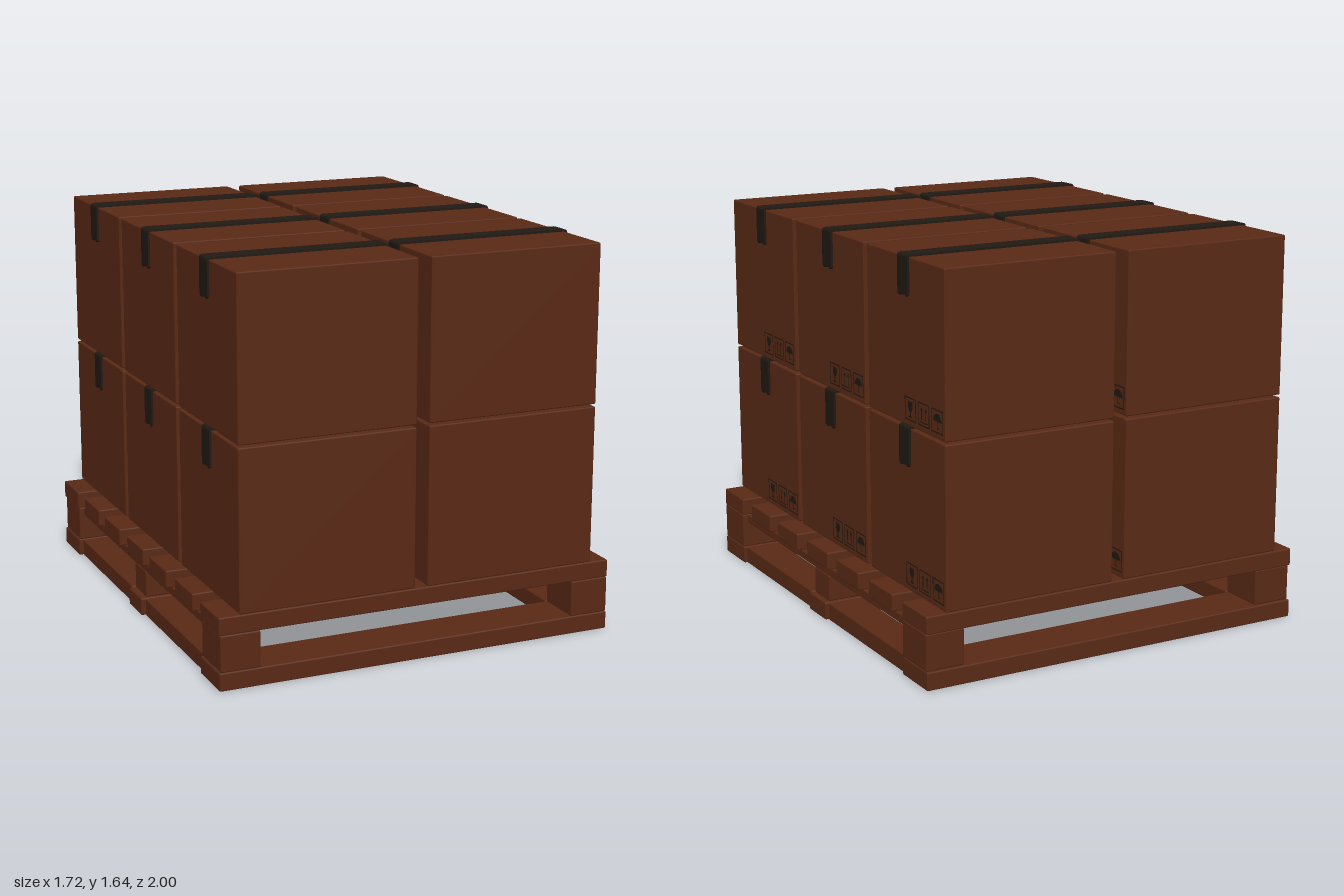
import * as THREE from 'three';
import { RoundedBoxGeometry } from 'three/addons/geometries/RoundedBoxGeometry.js';
import { mergeGeometries } from 'three/addons/utils/BufferGeometryUtils.js';

const brown = new THREE.MeshStandardMaterial({ color: 0x5a2a16 });
const black = new THREE.MeshStandardMaterial({ color: 0x211a14, side: THREE.DoubleSide });

// Softly edged block given by its min and max on each axis
function block(name, [x0, x1], [y0, y1], [z0, z1], r = 0.006) {
  const mesh = new THREE.Mesh(new RoundedBoxGeometry(x1 - x0, y1 - y0, z1 - z0, 1, r), brown);
  mesh.position.set((x0 + x1) / 2, (y0 + y1) / 2, (z0 + z1) / 2);
  mesh.name = name;
  return mesh;
}

function poly(points) {
  return new THREE.Shape(points.map(([x, y]) => new THREE.Vector2(x, y)));
}

function rect(x0, y0, x1, y1) {
  return poly([[x0, y0], [x1, y0], [x1, y1], [x0, y1]]);
}

const BOX = { w: 0.748, h: 0.66, d: 0.645 };

// Tape strap: rounded U section across the lid, with notched flap ends
function tapeGeometry() {
  const t = 0.009, r = 0.014, drop = 0.138, width = 0.084;
  const a = BOX.w / 2 + t, b = BOX.w / 2;
  const s = new THREE.Shape();
  s.moveTo(-a, -drop);
  s.lineTo(-a, t - r);
  s.quadraticCurveTo(-a, t, -a + r, t);
  s.lineTo(a - r, t);
  s.quadraticCurveTo(a, t, a, t - r);
  s.lineTo(a, -drop);
  s.lineTo(b, -drop);
  s.lineTo(b, 0);
  s.lineTo(-b, 0);
  s.lineTo(-b, -drop);
  const strap = new THREE.ExtrudeGeometry(s, { depth: width, bevelEnabled: false, curveSegments: 4 });
  strap.translate(0, 0, -width / 2);

  const h = width / 2;
  const end = poly([[-h, 0], [-h, -0.008], [-h * 0.65, -0.016], [-h * 0.3, -0.006],
    [0, -0.012], [h * 0.3, -0.006], [h * 0.65, -0.016], [h, -0.008], [h, 0]]);
  const tips = [b, -a].map((x) => {
    const g = new THREE.ExtrudeGeometry(end, { depth: t, bevelEnabled: false });
    g.rotateY(Math.PI / 2);
    return g.translate(x, -drop, 0);
  });
  return mergeGeometries([strap, ...tips]);
}

// Handling marks: glass, two upright arrows and umbrella, each in a square frame
function marksGeometry() {
  const half = 0.046;
  const frame = () => {
    const s = rect(-half, -half, half, half);
    const i = half - 0.005;
    s.holes.push(rect(-i, -i, i, i));
    return s;
  };
  const glass = [poly([[-0.018, 0.031], [-0.02, 0.008], [-0.011, -0.006], [-0.004, -0.01],
    [-0.004, -0.025], [-0.015, -0.029], [-0.015, -0.033], [0.015, -0.033], [0.015, -0.029],
    [0.004, -0.025], [0.004, -0.01], [0.011, -0.006], [0.02, 0.008], [0.018, 0.031],
    [0.006, 0.031], [0.002, 0.02], [-0.003, 0.031]])];
  const arrow = (x) => poly([[x - 0.003, -0.022], [x + 0.003, -0.022], [x + 0.003, 0.014],
    [x + 0.011, 0.014], [x, 0.03], [x - 0.011, 0.014], [x - 0.003, 0.014]]);
  const arrows = [arrow(-0.017), arrow(0.017), rect(-0.032, -0.033, 0.032, -0.028)];
  const dome = new THREE.Shape();
  dome.absarc(0, -0.004, 0.034, 0, Math.PI, false);
  dome.quadraticCurveTo(-0.023, 0.005, -0.011, -0.004);
  dome.quadraticCurveTo(0, 0.005, 0.011, -0.004);
  dome.quadraticCurveTo(0.023, 0.005, 0.034, -0.004);
  const umbrella = [dome, poly([[-0.002, 0], [-0.002, -0.029], [0.012, -0.029], [0.012, -0.022],
    [0.009, -0.022], [0.009, -0.026], [0.002, -0.026], [0.002, 0]])];

  const parts = [glass, arrows, umbrella].map((glyph, i) =>
    new THREE.ShapeGeometry([frame(), ...glyph], 8).translate(0.043 + i * 0.11, 0, 0));
  return mergeGeometries(parts).rotateY(Math.PI / 2);
}

function makePallet() {
  const pallet = new THREE.Group();
  pallet.name = 'pallet';
  // Deck planks
  for (let i = -3; i <= 3; i++) {
    const z = i * 0.298, e = i % 2 ? 0 : 0.003;
    pallet.add(block('deckPlank', [-0.862 + e, 0.858 - e], [0.226, 0.3], [z - 0.104, z + 0.104]));
  }
  // Bottom cross boards: front, middle and back
  for (const [z, h] of [[-0.895, 0.105], [0, 0.08], [0.895, 0.105]]) {
    pallet.add(block('bottomCrossBoard', [-0.862, 0.858], [0, 0.075], [z - h, z + h]));
  }
  for (const s of [-1, 1]) {
    const span = (a, b) => (s > 0 ? [a, b] : [-b, -a]);
    // Blocks
    for (const [z, h] of [[-0.89, 0.1], [0.897, 0.101]]) {
      pallet.add(block('cornerBlock', span(0.69, 0.857), [0.075, 0.226], [z - h, z + h]));
    }
    pallet.add(block('middleBlock', span(0.69, 0.835), [0.075, 0.188], [-0.07, 0.07]));
    // Side rails under the deck, and bottom side boards between the cross boards
    pallet.add(block('sideRail', span(0.69, 0.835), [0.188, 0.226], [-0.79, 0.796]));
    pallet.add(block('bottomSideBoard', span(0.69, 0.845), [0, 0.075], [0.085, 0.79]));
    pallet.add(block('bottomSideBoard', span(0.69, 0.845), [0, 0.075], [-0.785, -0.085]));
  }
  return pallet;
}

export function createModel() {
  const model = new THREE.Group();
  model.name = 'loadedPallet';
  model.add(makePallet());

  const tapeShape = tapeGeometry();
  const marksShape = marksGeometry();
  const cartonShape = new RoundedBoxGeometry(BOX.w, BOX.h, BOX.d, 1, 0.006);

  // Two layers of two by three cartons
  for (const y of [0.302, 0.972]) {
    for (const x of [-0.403, 0.4]) {
      for (const z of [-0.6765, 0, 0.6765]) {
        const carton = new THREE.Group();
        carton.name = 'carton';
        carton.position.set(x, y, z);
        const body = new THREE.Mesh(cartonShape, brown);
        body.name = 'cartonBody';
        body.position.y = BOX.h / 2;
        const tape = new THREE.Mesh(tapeShape, black);
        tape.name = 'tape';
        tape.position.y = BOX.h;
        const marks = new THREE.Mesh(marksShape, black);
        marks.name = 'handlingMarks';
        marks.position.set(BOX.w / 2 + 0.002, 0.07, 0);
        carton.add(body, tape, marks);
        model.add(carton);
      }
    }
  }
  return model;
}
